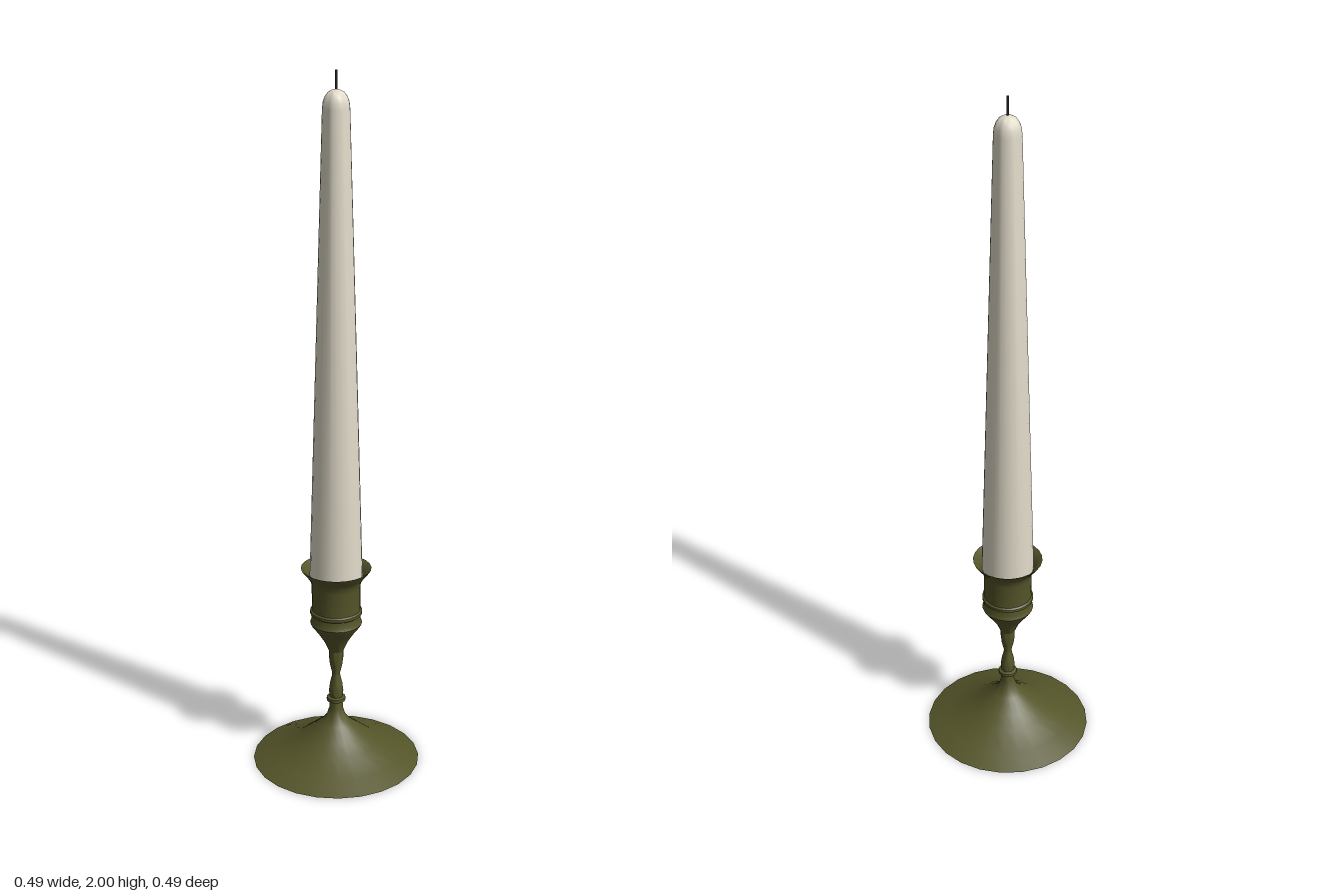
import * as THREE from 'three';
import { toCreasedNormals } from 'three/addons/utils/BufferGeometryUtils.js';

const SIDES = 24;

// Turned part from [radius, height] pairs, listed bottom to top
function turned(name, profile, material, sides = SIDES) {
  const points = profile.map(([r, y]) => new THREE.Vector2(r, y));
  const geometry = toCreasedNormals(new THREE.LatheGeometry(points, sides), 0.6);
  const mesh = new THREE.Mesh(geometry, material);
  mesh.name = name;
  return mesh;
}

export function createModel() {
  const brass = new THREE.MeshStandardMaterial({ color: 0x55552a, side: THREE.DoubleSide });
  brass.name = 'olive brass';
  const wax = new THREE.MeshStandardMaterial({ color: 0xe0dac8 });
  wax.name = 'ivory wax';
  const char = new THREE.MeshStandardMaterial({ color: 0x3c3a38 });
  char.name = 'wick grey';

  const model = new THREE.Group();
  model.name = 'candlestick';

  // Hollow flared foot
  model.add(turned('foot', [
    [0.244, 0], [0.19, 0.024], [0.12, 0.055], [0.085, 0.083], [0.045, 0.115],
    [0.028, 0.135], [0.02, 0.16], [0.019, 0.182],
  ], brass));

  // Slender stem with a collar and a pinched waist
  model.add(turned('stem', [
    [0.019, 0.182], [0.027, 0.185], [0.028, 0.19], [0.027, 0.195], [0.019, 0.198],
    [0.021, 0.215], [0.018, 0.24], [0.012, 0.265], [0.012, 0.275],
    [0.018, 0.3], [0.021, 0.325], [0.021, 0.345],
  ], brass));

  // Socket: bell, ringed cup and flared lip, turning back down inside
  model.add(turned('socket', [
    [0.021, 0.345], [0.034, 0.375], [0.052, 0.403], [0.071, 0.428], [0.075, 0.436],
    [0.071, 0.444], [0.071, 0.463], [0.075, 0.466], [0.075, 0.474], [0.07, 0.478],
    [0.07, 0.55], [0.073, 0.566], [0.082, 0.58], [0.097, 0.598], [0.101, 0.605],
    [0.096, 0.603], [0.081, 0.586], [0.07, 0.568], [0.066, 0.55], [0.066, 0.5], [0, 0.5],
  ], brass));

  // Tapered candle with a rounded tip
  model.add(turned('candle', [
    [0, 0.574], [0.076, 0.574], [0.037, 1.9], [0.035, 1.918], [0.03, 1.932],
    [0.022, 1.943], [0.011, 1.949], [0, 1.951],
  ], wax));

  // Wick
  model.add(turned('wick', [[0.003, 1.945], [0.003, 2], [0, 2]], char, 8));

  return model;
}
